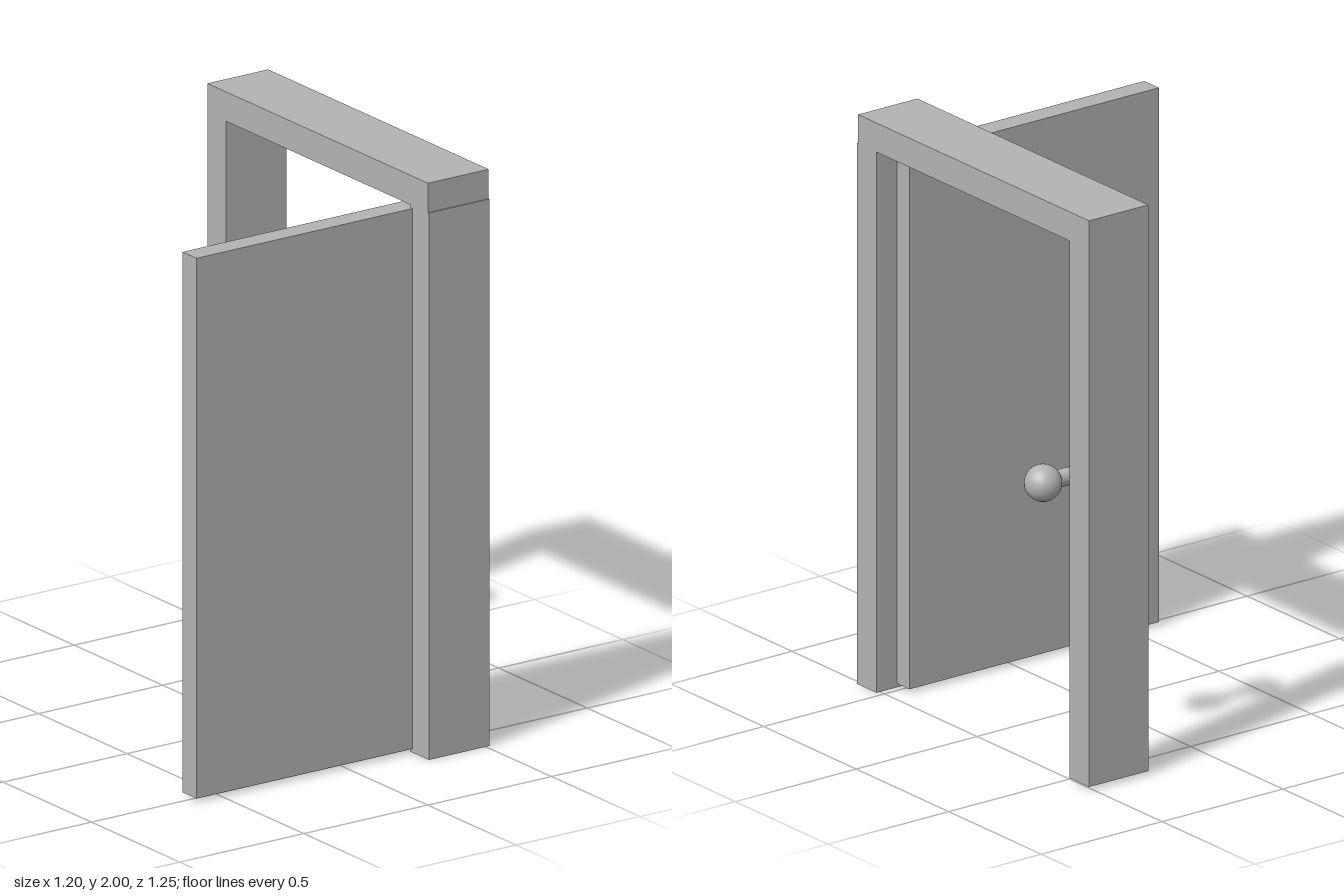
import * as THREE from 'three';

export function createModel() {
  const group = new THREE.Group();
  const grey = new THREE.MeshStandardMaterial({ color: 0xb3b3b3 });
  grey.name = 'grey';

  const add = (name, geometry, x, y, z) => {
    const mesh = new THREE.Mesh(geometry, grey);
    mesh.name = name;
    mesh.position.set(x, y, z);
    group.add(mesh);
    return mesh;
  };

  // Box given by its lower and upper corners
  const addBox = (name, [x0, y0, z0], [x1, y1, z1]) =>
    add(name, new THREE.BoxGeometry(x1 - x0, y1 - y0, z1 - z0),
      (x0 + x1) / 2, (y0 + y1) / 2, (z0 + z1) / 2);

  // Door frame
  const left = 0.515, right = 0.27;
  addBox('hingePost', [right, 0, 0.524], [left, 1.898, 0.628]);
  addBox('latchPost', [right, 0.013, -0.625], [left, 1.898, -0.52]);
  addBox('lintel', [right, 1.898, -0.625], [left, 2, 0.623]);

  // Door leaf, swung open
  addBox('doorLeaf', [-0.602, 0.013, 0.457], [0.43, 1.888, 0.536]);

  // Pair of knobs, each on its own stem
  const knobY = 1.02, knobZ = -0.405, middle = 0.424;
  for (const [side, s] of [['inner', -1], ['outer', 1]]) {
    add(side + 'Knob', new THREE.SphereGeometry(0.063, 32, 16), middle + s * 0.113, knobY, knobZ);
    const stem = add(side + 'KnobStem', new THREE.CylinderGeometry(0.03, 0.03, 0.1, 32),
      middle + s * 0.054, knobY, knobZ);
    stem.rotation.z = Math.PI / 2;
  }
  return group;
}
